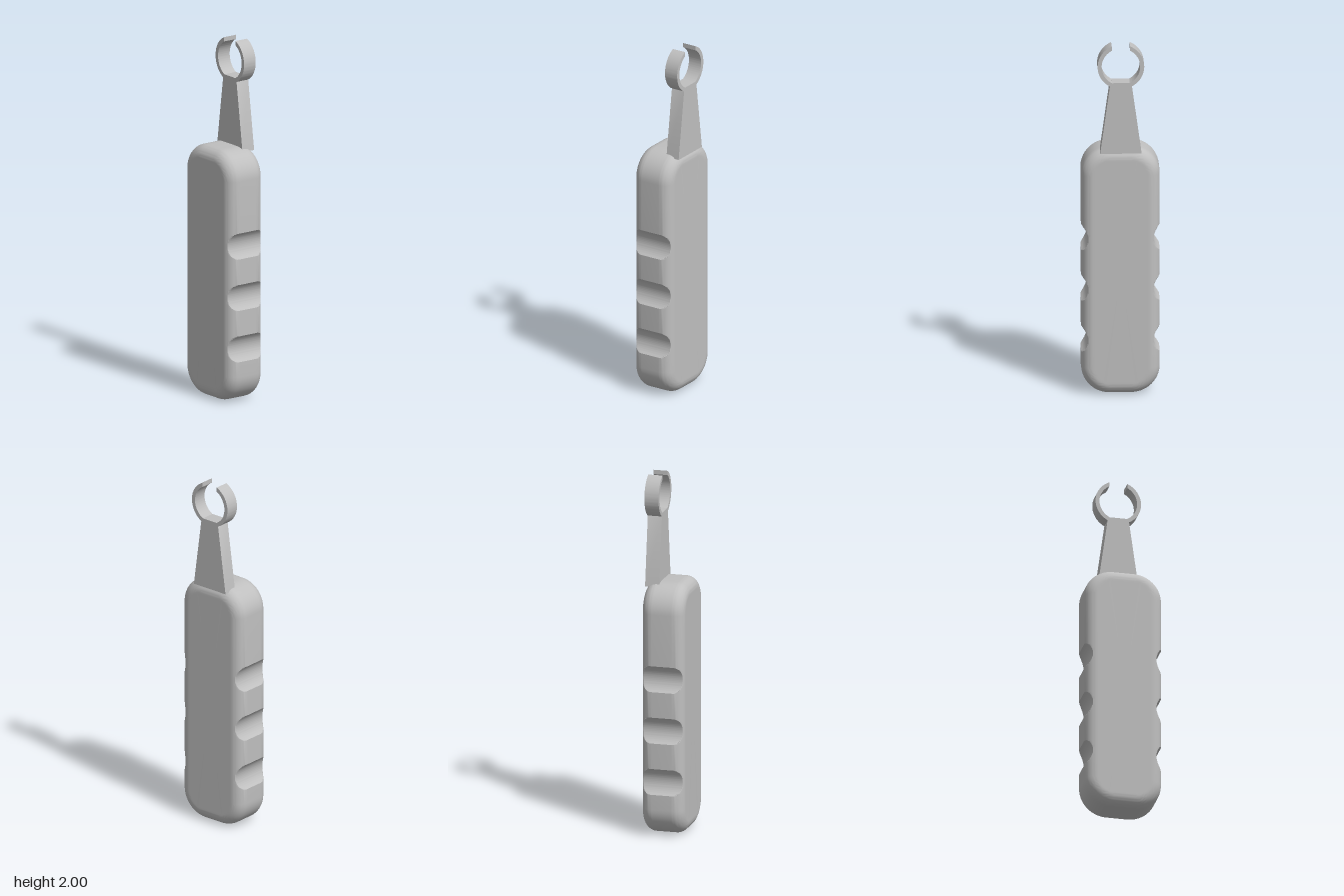
import * as THREE from 'three';
import { toCreasedNormals } from 'three/addons/utils/BufferGeometryUtils.js';

const HW = 0.214, TOP = 1.41, HZ = 0.12;   // handle half width, height, half depth
const CORNER = 0.155, FILLET = 0.065;      // outline corner radius, edge rounding
const GROOVES = [0.312, 0.602, 0.892], CHORD = 0.073, DEPTH = 0.036;
const GROOVE_R = (CHORD * CHORD + DEPTH * DEPTH) / (2 * DEPTH);

// Largest |x| left by the finger grooves at height y
function grooveLimit(y) {
  for (const c of GROOVES) {
    const dy = Math.abs(y - c);
    if (dy < CHORD) return HW - DEPTH + GROOVE_R - Math.sqrt(GROOVE_R ** 2 - dy * dy);
  }
  return HW;
}

// Handle outline: points with outward normals, anticlockwise from the front
function handleOutline() {
  const pts = [];
  const sideYs = [];
  for (const c of GROOVES) for (let k = -16; k <= 16; k++) sideYs.push(c + CHORD * k / 16);
  const corner = (cx, cy, start) => {
    for (let k = 0; k <= 14; k++) {
      const a = start + Math.PI / 2 * k / 14;
      const nx = Math.cos(a), ny = Math.sin(a);
      pts.push({ x: cx + CORNER * nx, y: cy + CORNER * ny, nx, ny });
    }
  };
  const ix = HW - CORNER;
  for (const y of sideYs) pts.push({ x: HW, y, nx: 1, ny: 0 });
  corner(ix, TOP - CORNER, 0);
  corner(-ix, TOP - CORNER, Math.PI / 2);
  for (const y of sideYs.slice().reverse()) pts.push({ x: -HW, y, nx: -1, ny: 0 });
  corner(-ix, CORNER, Math.PI);
  corner(ix, CORNER, Math.PI * 1.5);
  return pts;
}

// Handle body: inset outlines stacked from front to back, clipped by the grooves
function handleGeometry() {
  const outline = handleOutline(), n = outline.length;
  const half = [[FILLET + 0.01, HZ]];
  for (let k = 0; k <= 14; k++) {
    const t = Math.PI / 2 * k / 14;
    half.push([FILLET * (1 - Math.sin(t)), HZ - FILLET + FILLET * Math.cos(t)]);
  }
  const layers = [...half, ...half.slice().reverse().map(([d, z]) => [d, -z])];
  const pos = [], index = [];
  for (const [d, z] of layers) {
    for (const p of outline) {
      const y = p.y - p.ny * d, lim = grooveLimit(y);
      pos.push(THREE.MathUtils.clamp(p.x - p.nx * d, -lim, lim), y, z);
    }
  }
  const front = pos.length / 3, back = front + 1, last = (layers.length - 1) * n;
  pos.push(0, TOP / 2, HZ, 0, TOP / 2, -HZ);
  for (let i = 0; i < n; i++) {
    const j = (i + 1) % n;
    for (let l = 0; l < layers.length - 1; l++) {
      const a = l * n + i, b = l * n + j, c = b + n, d = a + n;
      index.push(a, d, b, b, d, c);
    }
    index.push(front, i, j, back, last + j, last + i);
  }
  const g = new THREE.BufferGeometry();
  g.setAttribute('position', new THREE.Float32BufferAttribute(pos, 3));
  g.setIndex(index);
  return toCreasedNormals(g, 0.5);
}

// Flat plate at the back of the handle
function plate(shape) {
  const g = new THREE.ExtrudeGeometry(shape, { depth: 0.08, bevelEnabled: false, curveSegments: 48 });
  g.translate(0, 0, -HZ);
  return toCreasedNormals(g, 0.5);
}

export function createModel() {
  const grey = new THREE.MeshStandardMaterial({ color: 0xbfbfbf });
  grey.name = 'light grey';
  const model = new THREE.Group();
  model.name = 'clipTool';
  const add = (name, geometry) => {
    const mesh = new THREE.Mesh(geometry, grey);
    mesh.name = name;
    model.add(mesh);
  };

  add('handle', handleGeometry());

  // Tapered neck
  const neck = new THREE.Shape();
  neck.moveTo(-0.113, 1.385);
  neck.lineTo(0.113, 1.385);
  neck.lineTo(0.06, 1.77);
  neck.lineTo(0.048, 1.79);
  neck.lineTo(-0.048, 1.79);
  neck.lineTo(-0.06, 1.77);
  add('neck', plate(neck));

  // Open ring with a vertical-sided gap at the top
  const cy = 1.883, ro = 0.127, ri = 0.105, gap = 0.05;
  const ao = Math.acos(gap / ro), ai = Math.acos(gap / ri);
  const ring = new THREE.Shape();
  ring.absarc(0, cy, ro, Math.PI - ao, 2 * Math.PI + ao, false);
  ring.absarc(0, cy, ri, 2 * Math.PI + ai, Math.PI - ai, true);
  add('ringClip', plate(ring));

  return model;
}
